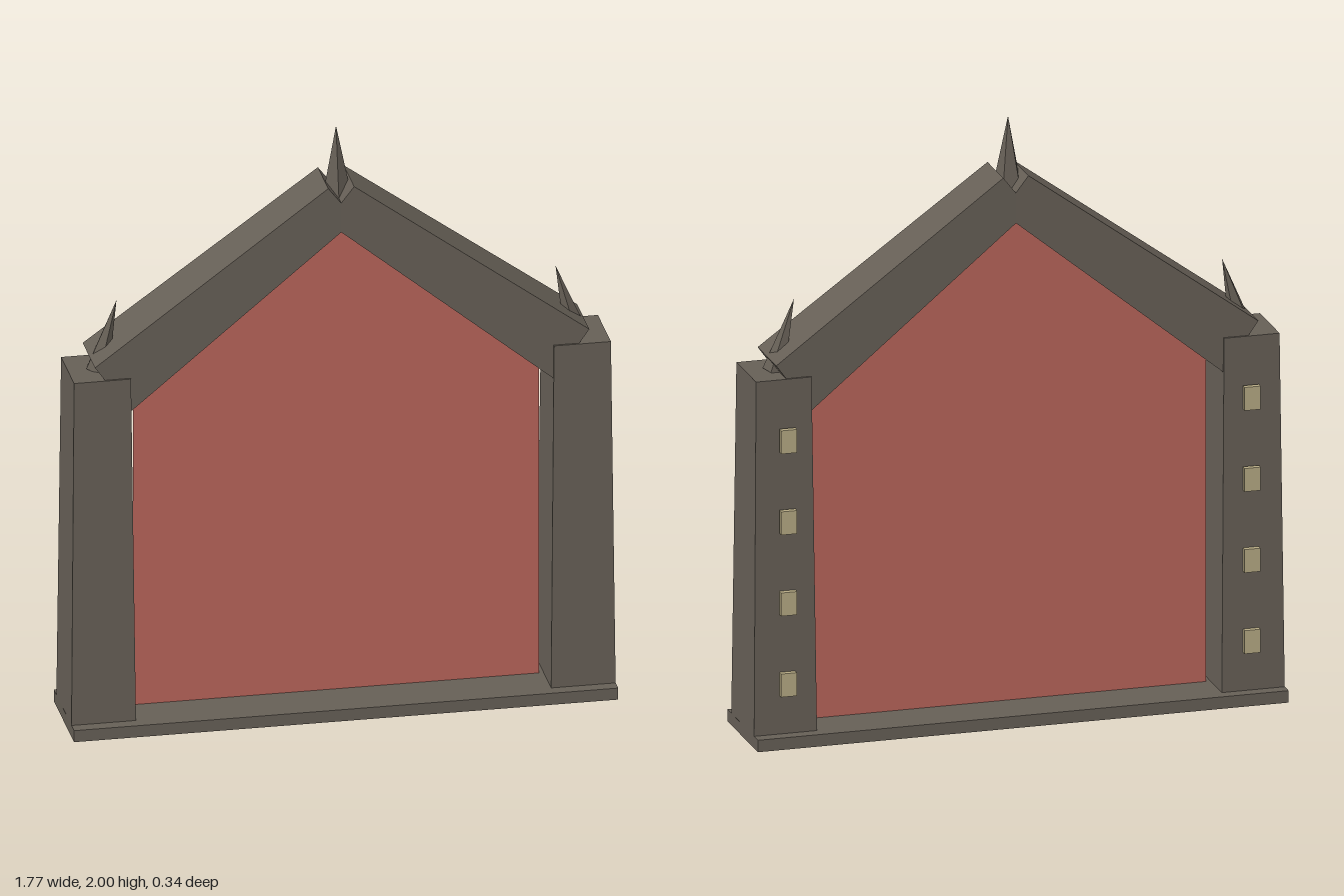
import * as THREE from 'three';

const stone = new THREE.MeshStandardMaterial({ color: 0x665f56 });
stone.name = 'dark stone';
const red = new THREE.MeshStandardMaterial({ color: 0xb8645a, side: THREE.DoubleSide });
red.name = 'red panel';
const cream = new THREE.MeshStandardMaterial({ color: 0xb5a983 });
cream.name = 'cream plate';

// Box reshaped to a front outline [bl, br, tr, tl], with half depths at its start and end.
// side = -1 mirrors the outline across x.
function taperedBox([bl, br, tr, tl], zStart, zEnd, side) {
  const flip = ([x, y]) => [-x, y];
  const [a, b, c, d] = side > 0 ? [bl, br, tr, tl] : [br, bl, tl, tr].map(flip);
  const geo = new THREE.BoxGeometry(2, 2, 2);
  const p = geo.attributes.position;
  for (let i = 0; i < p.count; i++) {
    const end = p.getY(i) > 0;
    const right = p.getX(i) > 0;
    const [x, y] = end ? (right ? c : d) : (right ? b : a);
    p.setXYZ(i, x, y, p.getZ(i) * (end ? zEnd : zStart));
  }
  geo.computeVertexNormals();
  return geo;
}

// Five-sided pointed spike from base centre to tip
function spikeGeometry(base, tip, radius) {
  const from = new THREE.Vector3(...base);
  const axis = new THREE.Vector3(...tip).sub(from);
  const length = axis.length();
  const geo = new THREE.ConeGeometry(radius, length, 5).toNonIndexed();
  geo.computeVertexNormals();
  geo.translate(0, length / 2, 0);
  geo.applyQuaternion(new THREE.Quaternion().setFromUnitVectors(
    new THREE.Vector3(0, 1, 0), axis.normalize()));
  geo.translate(from.x, from.y, from.z);
  return geo;
}

export function createModel() {
  const model = new THREE.Group();
  model.name = 'gabledArch';
  const add = (name, geo, material) => {
    const mesh = new THREE.Mesh(geo, material);
    mesh.name = name;
    model.add(mesh);
    return mesh;
  };

  // Sill
  add('base', new THREE.BoxGeometry(1.77, 0.04, 0.336), stone).position.y = 0.02;

  // Infill panel, tucked under the rafters
  const outline = [[-0.66, 0.03], [0.66, 0.03], [0.66, 1.2], [0, 1.71], [-0.66, 1.2]];
  add('panel', new THREE.ShapeGeometry(
    new THREE.Shape(outline.map(([x, y]) => new THREE.Vector2(x, y)))), red);

  for (const side of [1, -1]) {
    const label = side > 0 ? 'left' : 'right';

    // Tapered post
    add(label + 'Post', taperedBox(
      [[0.675, 0.02], [0.885, 0.02], [0.873, 1.222], [0.688, 1.222]], 0.126, 0.108, side), stone);

    // Sloping rafter, narrower towards the ridge
    add(label + 'Rafter', taperedBox(
      [[-0.804, 1.268], [-0.688, 1.106], [0.048, 1.706], [-0.042, 1.822]], 0.102, 0.087, -side), stone);

    // Leaning spike at the eave
    add(label + 'Spike', spikeGeometry(
      [side * 0.778, 1.217, 0], [side * 0.714, 1.453, 0], 0.04), stone);

    // Plates up the back of the post
    for (let i = 0; i < 4; i++) {
      add(label + 'Plate' + (i + 1), new THREE.BoxGeometry(0.053, 0.078, 0.02), cream)
        .position.set(side * 0.773, 0.207 + i * 0.272, -0.132);
    }
  }

  // Spike at the ridge
  add('ridgeSpike', spikeGeometry([0, 1.76, 0], [0, 2, 0], 0.05), stone);

  return model;
}
